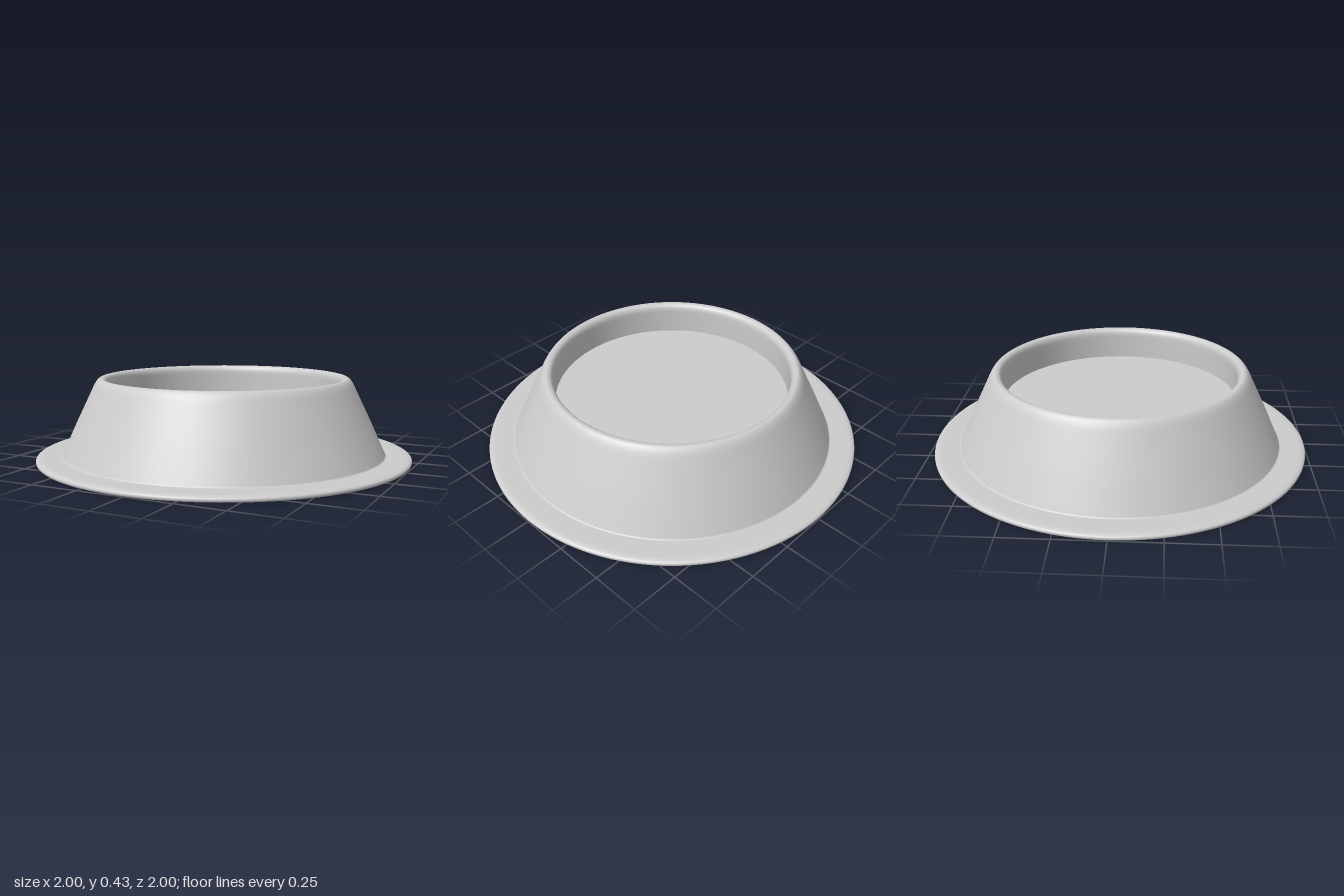
import * as THREE from 'three';

const SEGMENTS = 128;

export function createModel() {
  const group = new THREE.Group();
  group.name = 'bowl';
  const material = new THREE.MeshStandardMaterial({ color: 0xcccccc, side: THREE.DoubleSide });

  // Revolve a path; separate parts keep the creases between them sharp
  const addLathe = (name, path) => {
    const points = [];
    for (const curve of path.curves) {
      for (const p of curve.getPoints(curve.isLineCurve ? 1 : 8)) {
        if (!points.length || points[points.length - 1].distanceTo(p) > 1e-5) points.push(p);
      }
    }
    const mesh = new THREE.Mesh(new THREE.LatheGeometry(points, SEGMENTS), material);
    mesh.name = name;
    group.add(mesh);
  };

  // Flat underside
  const underside = new THREE.Path();
  underside.moveTo(0, 0).lineTo(0.994, 0);
  addLathe('underside', underside);

  // Rounded flange, tight fillet, sloping wall, rolled rim and upright inner wall
  const shell = new THREE.Path();
  shell.moveTo(0.994, 0)
    .quadraticCurveTo(1, 0.003, 1, 0.012)
    .quadraticCurveTo(0.999, 0.026, 0.965, 0.028)
    .lineTo(0.95, 0.028)
    .lineTo(0.88, 0.028)
    .lineTo(0.869, 0.028)
    .quadraticCurveTo(0.863, 0.028, 0.86, 0.035)
    .lineTo(0.855, 0.046)
    .lineTo(0.785, 0.2)
    .lineTo(0.703, 0.37)
    .quadraticCurveTo(0.676, 0.432, 0.655, 0.432)
    .quadraticCurveTo(0.623, 0.432, 0.622, 0.39)
    .lineTo(0.622, 0.37)
    .lineTo(0.623, 0.258);
  addLathe('shell', shell);

  // Raised inner floor
  const floor = new THREE.Path();
  floor.moveTo(0.623, 0.258).lineTo(0, 0.258);
  addLathe('floor', floor);

  return group;
}
